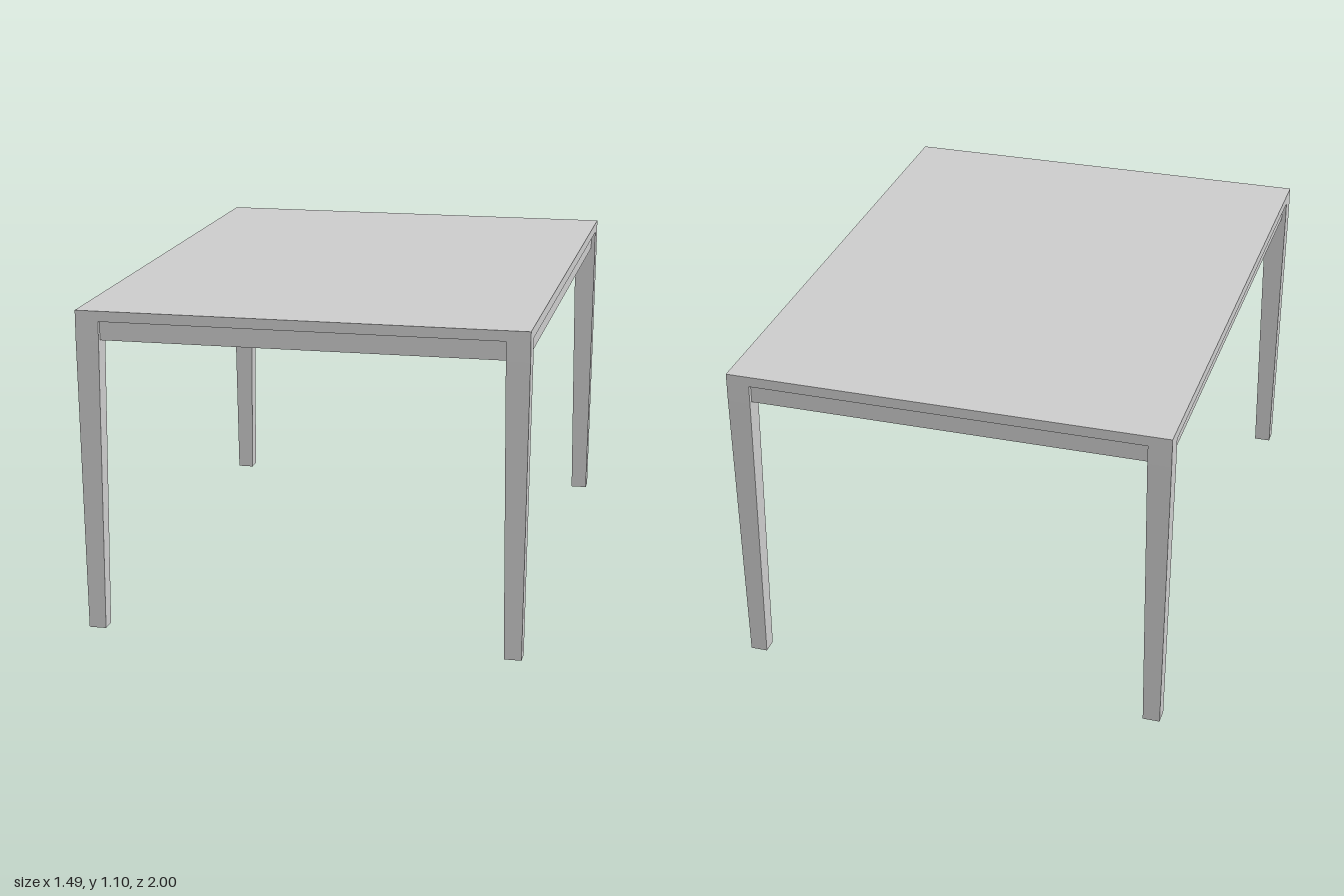
import * as THREE from 'three';

const W = 0.747, D = 1, H = 1.1;        // half width, half depth, height
const TOP_Y = 1.065, APRON_Y = 1.0;     // undersides of top and apron
const RECESS = 0.015;

const material = new THREE.MeshStandardMaterial({ color: 0xcccccc, flatShading: true });

function box(name, w, h, d, y) {
  const mesh = new THREE.Mesh(new THREE.BoxGeometry(w, h, d), material);
  mesh.name = name;
  mesh.position.y = y + h / 2;
  return mesh;
}

// Corner leg: straight beside the apron, then tapering to the foot
function leg(name, sx, sz) {
  const w = 0.078, d = 0.068, foot = [0.058, 0.053];
  const geo = new THREE.BoxGeometry(w, TOP_Y, d, 1, 2, 1);
  geo.translate(0, TOP_Y / 2, 0);
  const p = geo.attributes.position;
  for (let i = 0; i < p.count; i++) {
    const y = p.getY(i);
    if (y < 0.01) {
      p.setX(i, Math.sign(p.getX(i)) * foot[0] / 2);
      p.setZ(i, Math.sign(p.getZ(i)) * foot[1] / 2);
    } else if (y < TOP_Y - 0.01) p.setY(i, APRON_Y);
  }
  geo.computeVertexNormals();
  const mesh = new THREE.Mesh(geo, material);
  mesh.name = name;
  mesh.position.set(sx * (W - w / 2), 0, sz * (D - d / 2));
  return mesh;
}

export function createModel() {
  const table = new THREE.Group();
  table.name = 'table';

  // Thin top over a slightly recessed closed apron
  table.add(box('tableTop', 2 * W, H - TOP_Y, 2 * D, TOP_Y));
  table.add(box('apron', 2 * (W - RECESS), TOP_Y - APRON_Y, 2 * (D - RECESS), APRON_Y));

  for (const [sx, side] of [[1, 'Left'], [-1, 'Right']])
    for (const [sz, end] of [[1, 'front'], [-1, 'back']])
      table.add(leg(`${end}${side}Leg`, sx, sz));

  return table;
}
